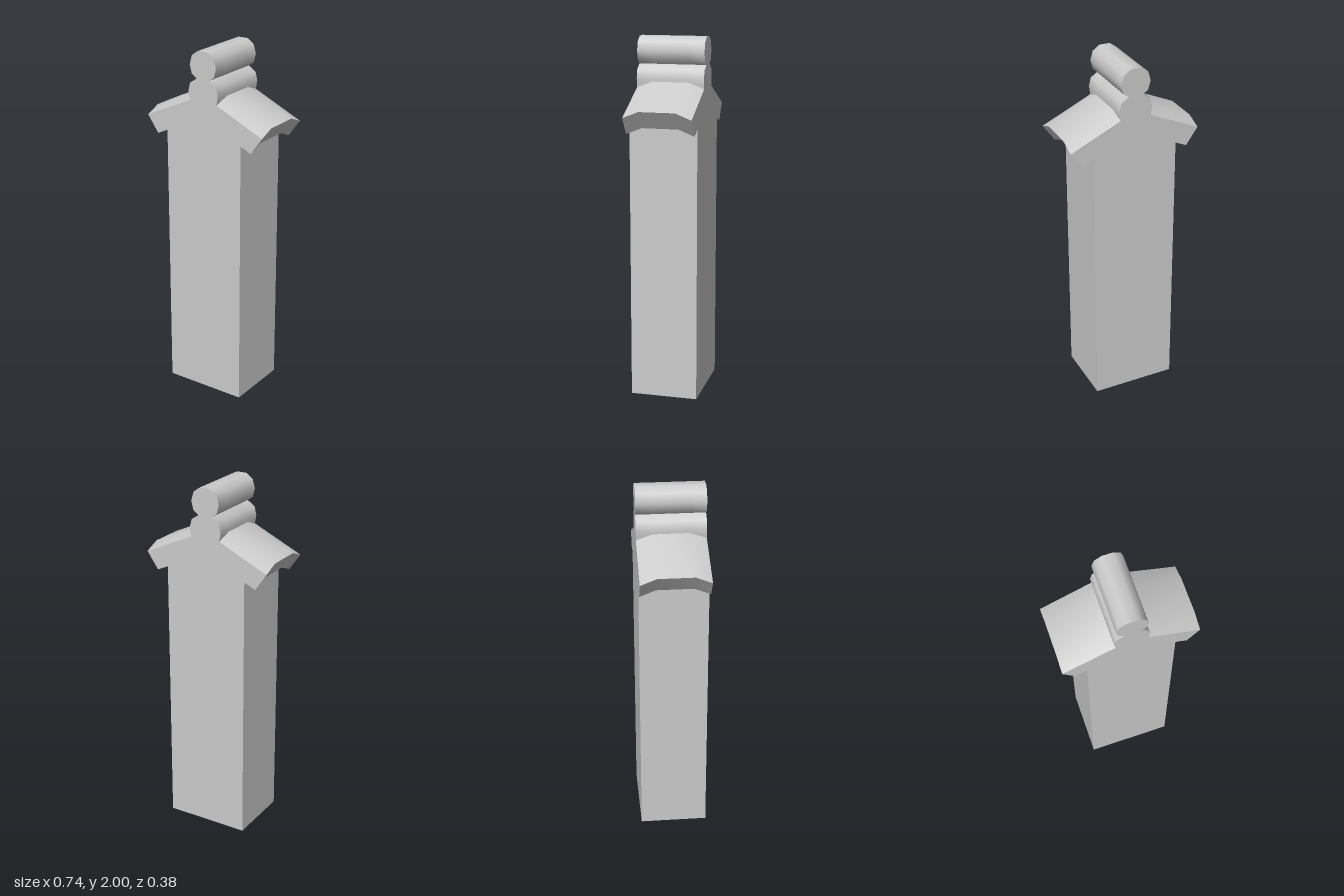
import * as THREE from 'three';
import { toCreasedNormals } from 'three/addons/utils/BufferGeometryUtils.js';

// Cross-sections from back to front: [z, how far the roof is raised there]
const SECTIONS = [[-0.188, 0], [-0.1, 0.035], [0.1, 0.035], [0.188, 0]];

// Right half of the end profile: [x, y, 1 if raised with the roof]
const foot = [0.24, 0, 0];
const wallTop = [0.24, 1.53, 1];
const eaveLow = [0.305, 1.5, 1];
const eaveHigh = [0.372, 1.595, 1];
const roofTop = [0.087, 1.725, 1];
const collar = [[0.087, 1.725, 0], [0.095, 1.775, 0], [0.083, 1.822, 0], [0.04, 1.85, 0]];
const roll = [[0.04, 1.85, 0], [0.071, 1.872, 0], [0.084, 1.922, 0], [0.069, 1.973, 0], [0.03, 2, 0]];

const mirror = (pts) => pts.map(([x, y, k]) => [-x, y, k]).reverse();

const stone = new THREE.MeshStandardMaterial({ color: 0xcccccc, side: THREE.DoubleSide });

// Skin a run of profile points through all cross-sections
function strip(name, pts) {
  const pos = [];
  for (let i = 0; i < pts.length - 1; i++) {
    for (let s = 0; s < SECTIONS.length - 1; s++) {
      const at = (p, [z, lift]) => [p[0], p[1] + p[2] * lift, z];
      const a = at(pts[i], SECTIONS[s]);
      const b = at(pts[i + 1], SECTIONS[s]);
      const c = at(pts[i + 1], SECTIONS[s + 1]);
      const d = at(pts[i], SECTIONS[s + 1]);
      pos.push(...a, ...b, ...c, ...a, ...c, ...d);
    }
  }
  const geo = new THREE.BufferGeometry();
  geo.setAttribute('position', new THREE.Float32BufferAttribute(pos, 3));
  const mesh = new THREE.Mesh(toCreasedNormals(geo, 0.9), stone);
  mesh.name = name;
  return mesh;
}

export function createModel() {
  const group = new THREE.Group();
  group.name = 'roofedPillar';

  // Pillar walls, eaves, roof slopes and ridge collar, on both sides
  const parts = {
    Wall: [foot, wallTop],
    EaveUnderside: [wallTop, eaveLow],
    EaveEdge: [eaveLow, eaveHigh],
    RoofSlope: [eaveHigh, roofTop],
    RidgeCollar: collar,
  };
  for (const [name, pts] of Object.entries(parts)) {
    group.add(strip('left' + name, pts), strip('right' + name, mirror(pts)));
  }

  // Round ridge roll on top
  group.add(strip('ridgeRoll', [...roll, ...mirror(roll)]));

  // Flat end faces; the foot of the pillar stays open
  const half = [foot, wallTop, eaveLow, eaveHigh, ...collar, ...roll.slice(1)];
  const outline = [...half, ...mirror(half)].map(([x, y]) => new THREE.Vector2(x, y));
  const faceGeo = new THREE.ShapeGeometry(new THREE.Shape(outline));
  const front = new THREE.Mesh(faceGeo, stone);
  front.name = 'frontFace';
  front.position.z = 0.188;
  const back = new THREE.Mesh(faceGeo, stone);
  back.name = 'backFace';
  back.position.z = -0.188;
  back.rotation.y = Math.PI;
  group.add(front, back);

  return group;
}
